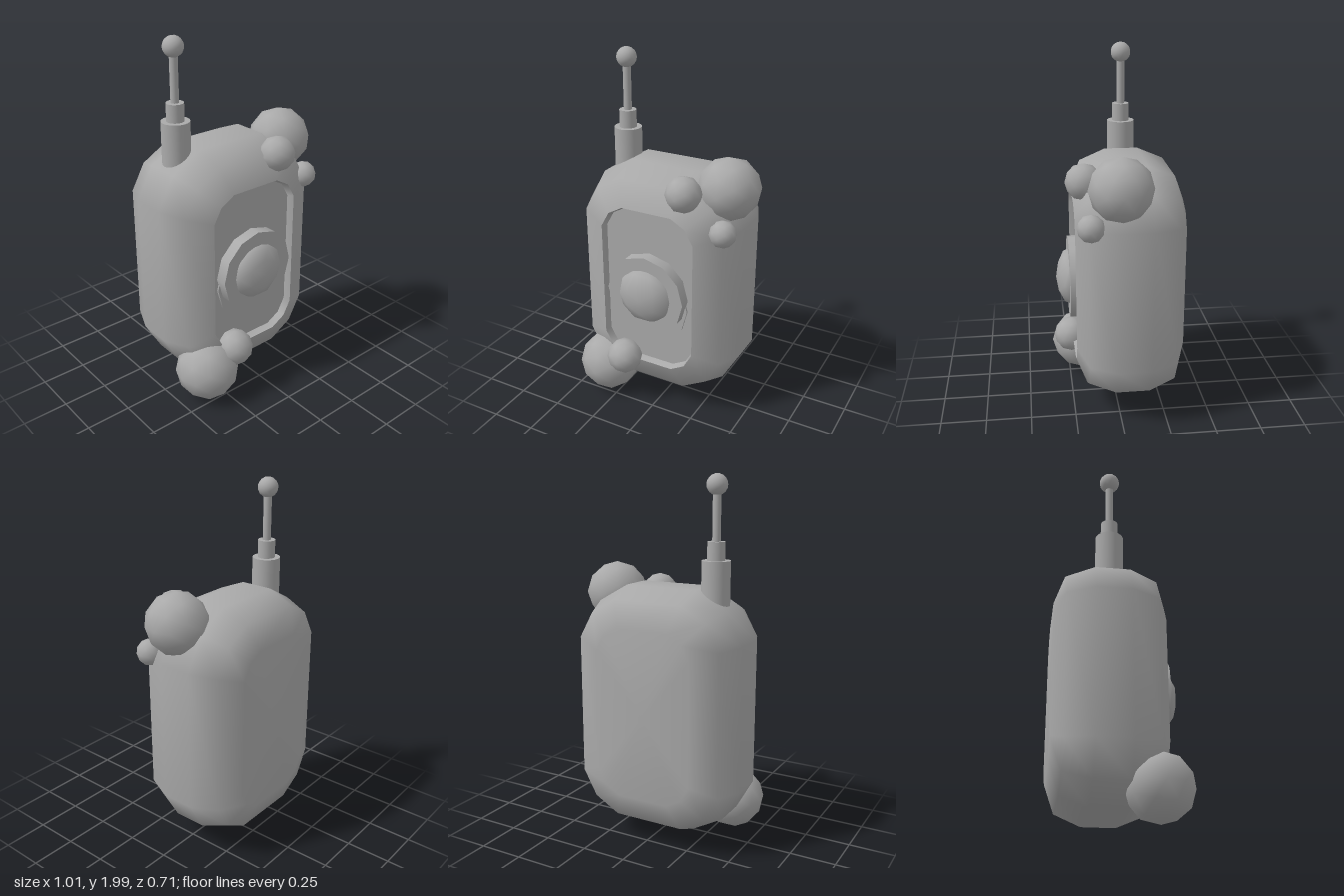
import * as THREE from 'three';

const CX = -0.035, CY = 0.757, HX = 0.475, HY = 0.663;

// Chamfer-cornered outline, counter-clockwise seen from the front
function ring(z, inset, r) {
  const hx = Math.max(HX - inset, 0), hy = Math.max(HY - inset, 0), m = r * 0.36, pts = [];
  const corner = [[0, r], [m, m], [r, 0]]; // distances in from the corner
  for (const [sx, sy] of [[1, 1], [-1, 1], [-1, -1], [1, -1]]) {
    const order = sx * sy > 0 ? corner : [...corner].reverse();
    for (const [dx, dy] of order) pts.push([CX + sx * (hx - dx), CY + sy * (hy - dy), z]);
  }
  return pts;
}
const hub = z => Array.from({ length: 12 }, () => [CX, CY, z]);

// Skin through successive rings, back to front
function loft(rings) {
  const n = rings[0].length, index = [];
  for (let i = 0; i < rings.length - 1; i++) {
    for (let j = 0; j < n; j++) {
      const a = i * n + j, b = i * n + (j + 1) % n;
      index.push(a, b, b + n, a, b + n, a + n);
    }
  }
  const g = new THREE.BufferGeometry();
  g.setAttribute('position', new THREE.Float32BufferAttribute(rings.flat(2), 3));
  g.setIndex(index);
  g.computeVertexNormals();
  return g;
}

export function createModel() {
  const group = new THREE.Group();
  const grey = new THREE.MeshStandardMaterial({ color: 0xaaaaaa });
  grey.name = 'plain grey';

  function add(name, geometry, x = 0, y = 0, z = 0) {
    const mesh = new THREE.Mesh(geometry, grey);
    mesh.name = name;
    mesh.position.set(x, y, z);
    group.add(mesh);
    return mesh;
  }

  // Rounded body shell, closed at the back
  add('body', loft([
    hub(-0.355), ring(-0.355, 0.2, 0.13), ring(-0.3, 0.06, 0.22), ring(-0.155, 0, 0.27),
    ring(0.03, 0, 0.27), ring(0.175, 0.06, 0.22), ring(0.235, 0.198, 0.13),
  ]));

  // Recessed front panel
  add('recessWall', loft([ring(0.235, 0.198, 0.13), ring(0.195, 0.208, 0.125)]));
  add('frontPanel', loft([ring(0.195, 0.208, 0.125), hub(0.195)]));

  // Round button on the panel
  function disc(name, y, back, front) {
    const g = new THREE.CylinderGeometry(0.232, 0.232, front - back, 12);
    g.rotateX(Math.PI / 2);
    add(name, g, CX, y, (front + back) / 2);
  }
  disc('buttonSeat', 0.67, 0.17, 0.205);
  disc('buttonBase', 0.738, 0.17, 0.26);
  add('buttonDome', new THREE.IcosahedronGeometry(1, 1), CX, 0.738, 0.24).scale.set(0.165, 0.165, 0.09);

  // Antenna
  const ax = -0.315, az = -0.07;
  for (const [name, r, y0, y1] of [
    ['antennaBase', 0.076, 1.22, 1.567], ['antennaCollar', 0.047, 1.55, 1.663], ['antennaRod', 0.022, 1.65, 1.92],
  ]) add(name, new THREE.CylinderGeometry(r, r, y1 - y0, 20), ax, (y0 + y1) / 2, az);
  add('antennaTip', new THREE.IcosahedronGeometry(0.055, 2), ax, 1.945, az);

  // Clusters of balls on opposite corners
  for (const [name, r, x, y, z] of [
    ['upperLargeBall', 0.17, 0.335, 1.35, 0.005],
    ['upperMediumBall', 0.098, 0.16, 1.347, 0.182],
    ['upperSmallBall', 0.073, 0.377, 1.165, 0.163],
    ['lowerLargeBall', 0.176, -0.328, 0.183, 0.175],
    ['lowerSmallBall', 0.102, -0.183, 0.295, 0.243],
  ]) add(name, new THREE.IcosahedronGeometry(r, 1), x, y, z);

  return group;
}
